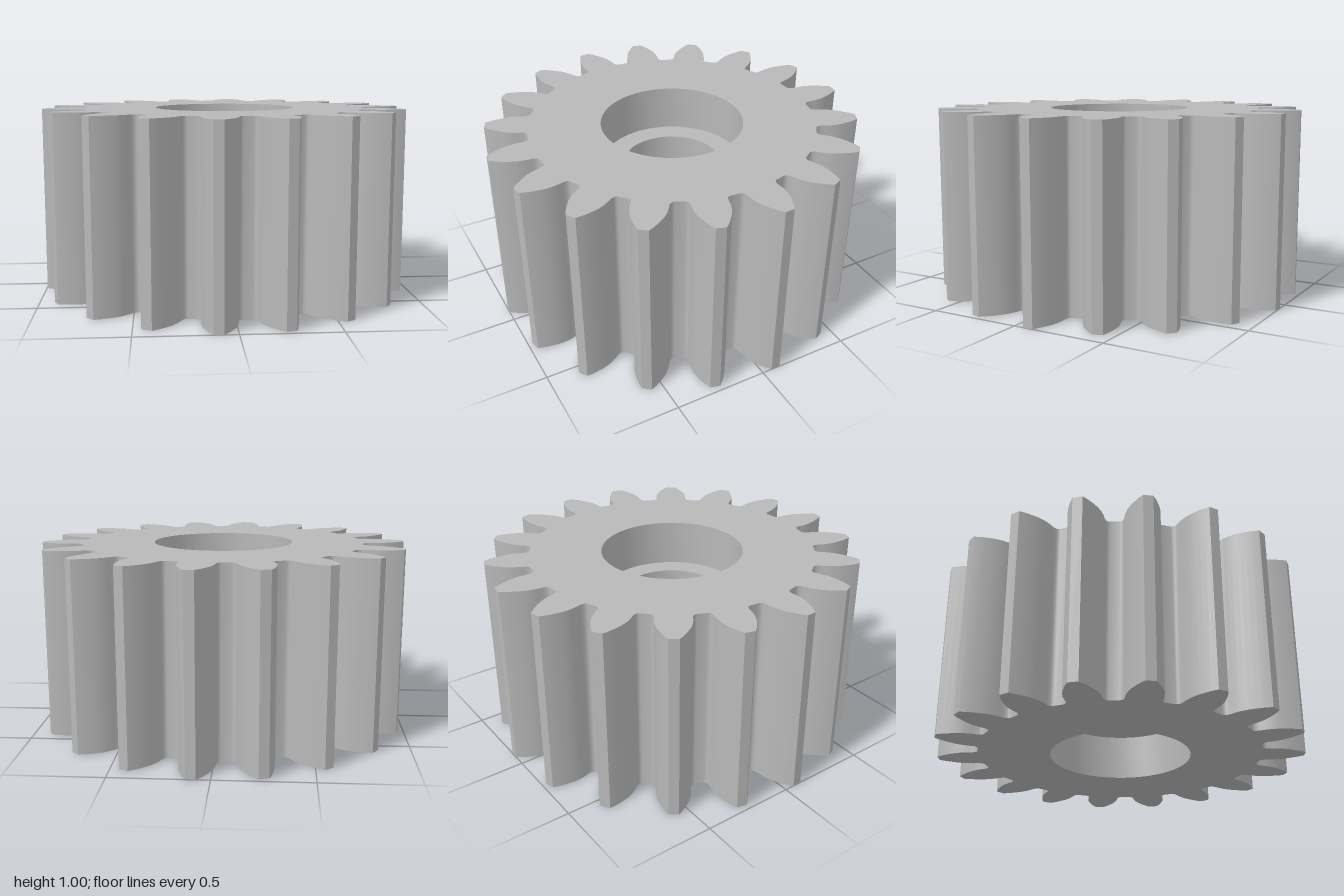
import * as THREE from 'three';
import { mergeGeometries, toCreasedNormals } from 'three/addons/utils/BufferGeometryUtils.js';

const TEETH = 18, HEIGHT = 1, PHASE = 4.5 * Math.PI / 180;
const BORE = 0.265, RECESS = 0.383, DEPTH = 0.25, SEGMENTS = 72;

// half of one tooth from root to tip: [radius, half width]
const FLANK = [
  [0.772, 0.109], [0.775, 0.1], [0.783, 0.0935], [0.8, 0.09], [0.83, 0.0905], [0.86, 0.088],
  [0.89, 0.082], [0.92, 0.071], [0.95, 0.057], [0.975, 0.044], [1.002, 0.026],
];

// closed outline of the whole gear, counter-clockwise
function gearOutline() {
  const points = [];
  const add = (r, a) => points.push(new THREE.Vector2(r * Math.cos(a), r * Math.sin(a)));
  for (let i = 0; i < TEETH; i++) {
    const mid = PHASE + (i * 2 * Math.PI) / TEETH;
    for (const [r, w] of FLANK) add(r, mid - Math.asin(w / r));
    for (const [r, w] of [...FLANK].reverse()) add(r, mid + Math.asin(w / r));
  }
  return points;
}

// flat gear face with the recess cut out, facing up
function gearFace(outline) {
  const shape = new THREE.Shape(outline);
  const hole = new THREE.Path();
  for (let i = 0; i < SEGMENTS; i++) {
    const a = (-i * 2 * Math.PI) / SEGMENTS;
    const x = RECESS * Math.cos(a), y = RECESS * Math.sin(a);
    if (i === 0) hole.moveTo(x, y);
    else hole.lineTo(x, y);
  }
  hole.closePath();
  shape.holes.push(hole);
  return new THREE.ShapeGeometry(shape).rotateX(-Math.PI / 2);
}

// the same face turned to look down
function flipped(geometry) {
  const g = geometry.clone();
  g.setIndex(Array.from(g.index.array).reverse());
  g.computeVertexNormals();
  return g;
}

// toothed wall between the two faces
function toothWall(outline) {
  const pos = [];
  outline.forEach((p, i) => {
    const q = outline[(i + 1) % outline.length];
    pos.push(p.x, 0, -p.y, q.x, 0, -q.y, q.x, HEIGHT, -q.y);
    pos.push(p.x, 0, -p.y, q.x, HEIGHT, -q.y, p.x, HEIGHT, -p.y);
  });
  const g = new THREE.BufferGeometry();
  g.setAttribute('position', new THREE.Float32BufferAttribute(pos, 3));
  return toCreasedNormals(g, 0.6);
}

export function createModel() {
  const model = new THREE.Group();
  model.name = 'spurGear';
  const steel = new THREE.MeshStandardMaterial({ color: 0xb8b8b8 });
  steel.name = 'grey steel';
  const add = (name, geometry) => {
    const mesh = new THREE.Mesh(geometry, steel);
    mesh.name = name;
    model.add(mesh);
  };

  const outline = gearOutline();
  const face = gearFace(outline);
  add('toothWall', toothWall(outline));
  add('endFaces', mergeGeometries([face.clone().translate(0, HEIGHT, 0), flipped(face)]));

  // through hole with a wider recess at both ends
  const profile = [
    [RECESS, HEIGHT], [RECESS, HEIGHT - DEPTH], [BORE, HEIGHT - DEPTH],
    [BORE, DEPTH], [RECESS, DEPTH], [RECESS, 0],
  ].map(([r, y]) => new THREE.Vector2(r, y));
  add('steppedBore', toCreasedNormals(new THREE.LatheGeometry(profile, SEGMENTS), 0.6));
  return model;
}
